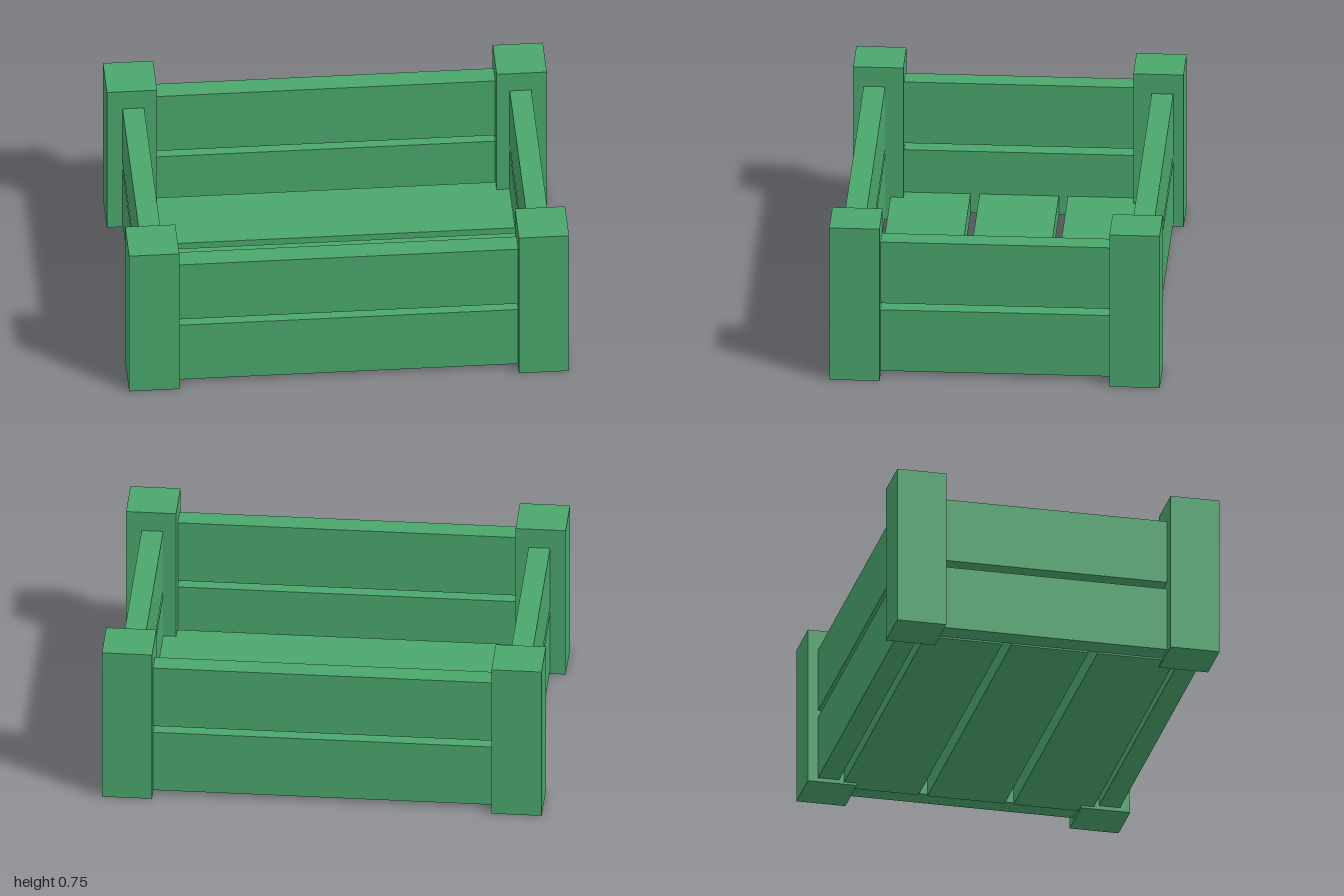
import * as THREE from 'three';

// Slatted crate: four corner posts, two slats per side, three floor boards
export function createModel() {
  const crate = new THREE.Group();
  crate.name = 'crate';
  const wood = new THREE.MeshStandardMaterial({ color: 0x4aa66c });

  const addBox = (name, w, h, d, x, y, z) => {
    const mesh = new THREE.Mesh(new THREE.BoxGeometry(w, h, d), wood);
    mesh.name = name;
    mesh.position.set(x, y, z);
    crate.add(mesh);
  };

  const postSize = 0.228, postHeight = 0.755, thickness = 0.098;
  const halfX = 1, halfZ = 0.75;

  for (const sx of [-1, 1]) {
    for (const sz of [-1, 1]) {
      // Corner posts
      addBox('cornerPost', postSize, postHeight, postSize,
        sx * (halfX - postSize / 2), postHeight / 2, sz * (halfZ - postSize / 2));
    }
  }

  // Wall slats, lower and upper row, let slightly into the posts
  for (const [bottom, top] of [[0.019, 0.322], [0.355, 0.659]]) {
    const h = top - bottom, y = (top + bottom) / 2;
    for (const s of [-1, 1]) {
      addBox('longSlat', 1.6, h, thickness, 0, y, s * 0.654);
      addBox('shortSlat', thickness, h, 1.1, s * 0.88, y, 0);
    }
  }

  // Floor boards between the short walls
  for (const i of [-1, 0, 1]) {
    addBox('floorBoard', 1.664, 0.1, 0.36, 0, 0.061, i * 0.401);
  }

  return crate;
}
